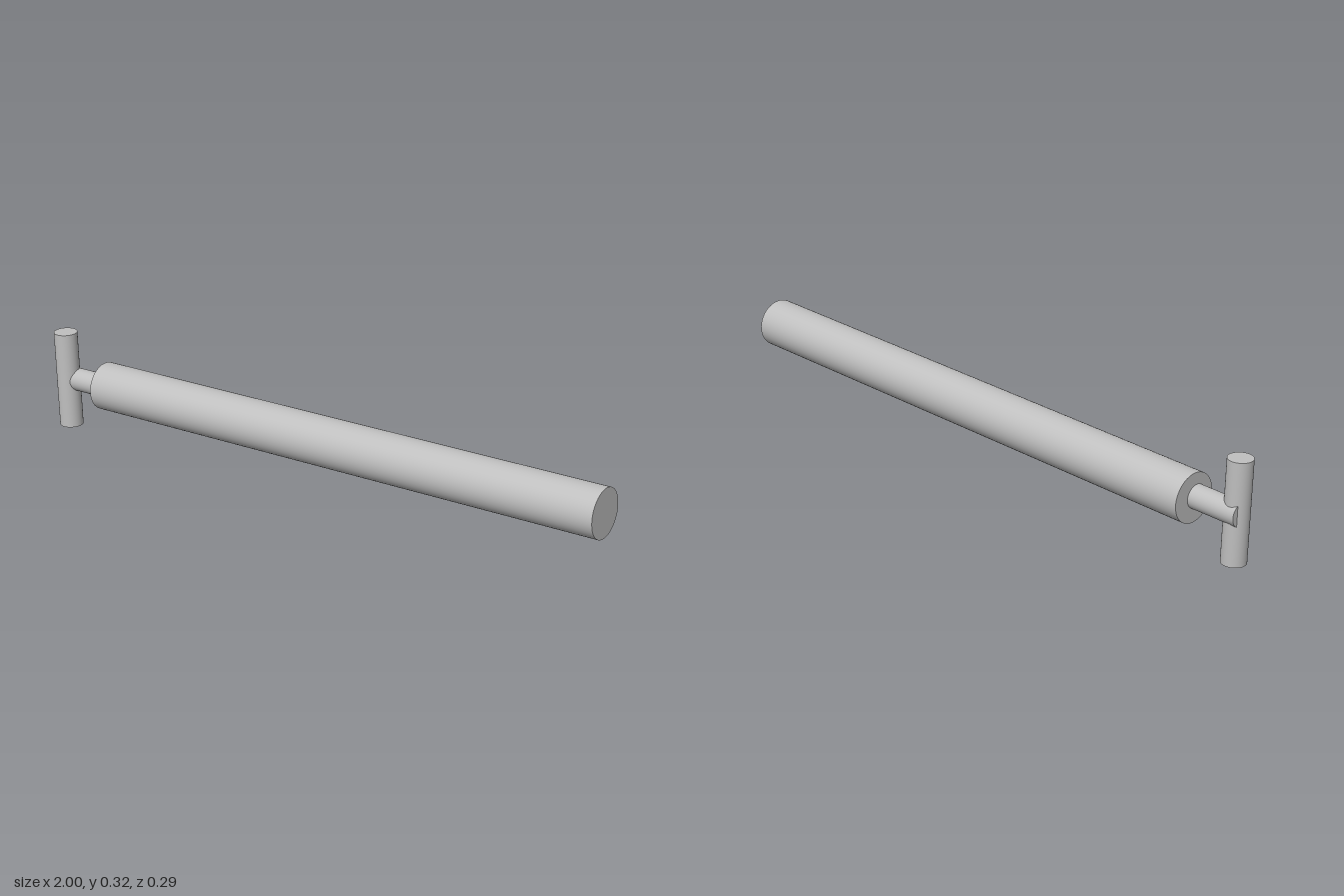
import * as THREE from 'three';

// Capped cylinder running between two points
function rod(name, from, to, radius, material) {
  const a = new THREE.Vector3(...from);
  const b = new THREE.Vector3(...to);
  const axis = b.clone().sub(a);
  const mesh = new THREE.Mesh(
    new THREE.CylinderGeometry(radius, radius, axis.length(), 48), material);
  mesh.name = name;
  mesh.position.copy(a).add(b).multiplyScalar(0.5);
  mesh.quaternion.setFromUnitVectors(new THREE.Vector3(0, 1, 0), axis.normalize());
  return mesh;
}

export function createModel() {
  const group = new THREE.Group();
  group.name = 'tHandledRod';
  const grey = new THREE.MeshStandardMaterial({ color: 0xbfbfbf });
  grey.name = 'plain grey';

  group.add(
    // Long thick bar, rising slightly and swinging back toward its far end
    rod('mainBar', [-0.82, 0.16, 0.067], [0.994, 0.213, -0.067], 0.077, grey),
    // Thin neck, buried in the bar and passing through the handle
    rod('neck', [-0.983, 0.158, 0.089], [-0.78, 0.163, 0.074], 0.037, grey),
    // Crosswise handle, square to the bar
    rod('handle', [-0.953, 0.001, 0.098], [-0.962, 0.32, 0.098], 0.038, grey),
  );
  return group;
}
